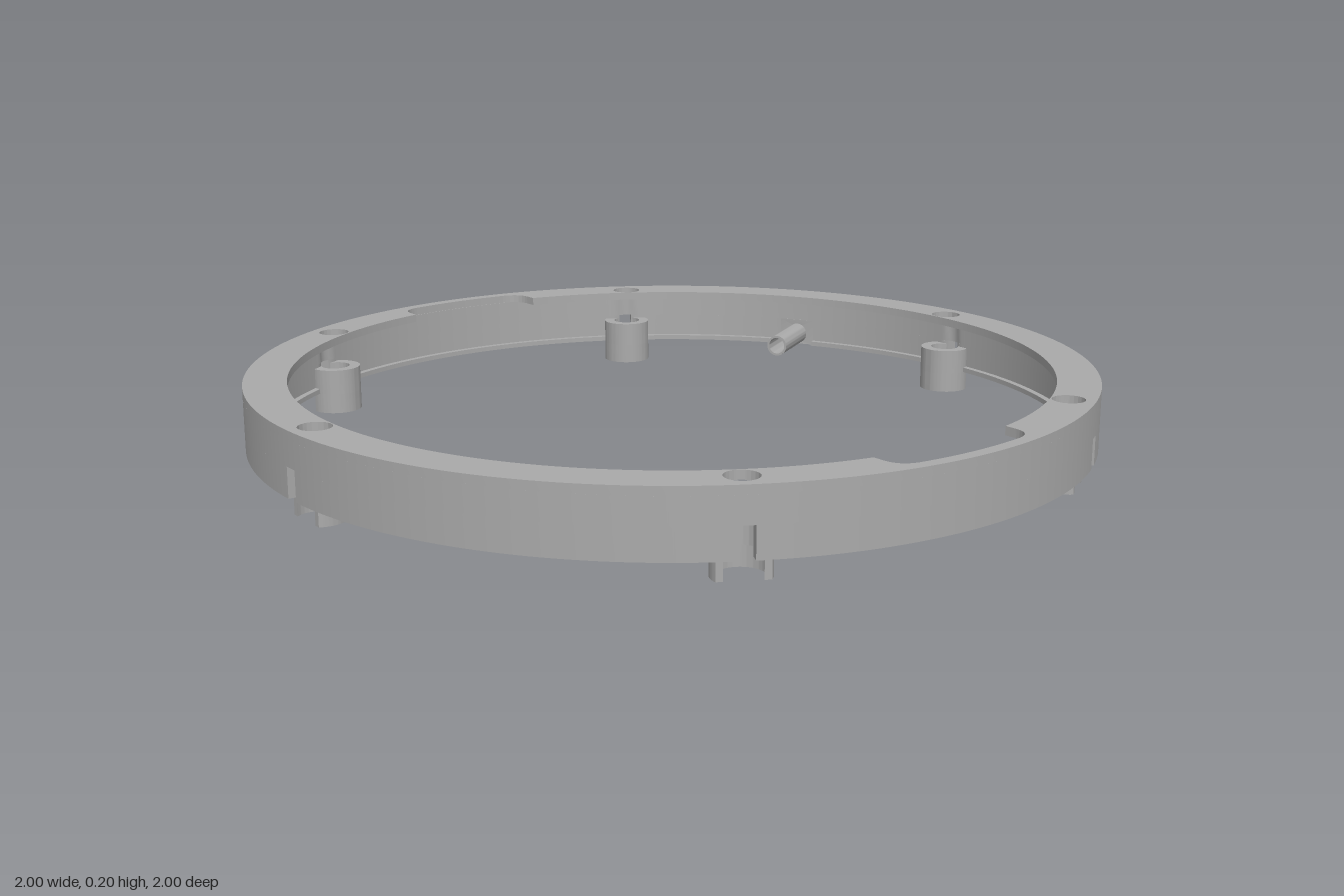
import * as THREE from 'three';
import { toCreasedNormals } from 'three/addons/utils/BufferGeometryUtils.js';

const POST_R = 0.94, BORE = 0.037, WALL_IN = 0.968;
const postAngles = [0, 1, 2, 3, 4, 5].map(k => k * Math.PI / 3);
const PIN_ANGLE = Math.PI / 6, PIN_Y = 0.08, PIN_GAP = 0.05;

// Extrude a plan shape upwards between two heights
function slab(shape, y0, y1, curveSegments = 32) {
  const g = new THREE.ExtrudeGeometry(shape, { depth: y1 - y0, bevelEnabled: false, curveSegments });
  g.rotateX(-Math.PI / 2);
  g.translate(0, y0, 0);
  return toCreasedNormals(g, 0.45);
}

// Inner radius of the wall, hollowed where the screw bores graze it
function innerRadius(a, base) {
  let r = base;
  for (const p of postAngles) {
    const s = POST_R * Math.sin(a - p);
    if (Math.cos(a - p) > 0 && Math.abs(s) < BORE) {
      r = Math.max(r, POST_R * Math.cos(a - p) + Math.sqrt(BORE * BORE - s * s));
    }
  }
  return r;
}

function arcPoints(a0, a1, radius) {
  const n = Math.max(8, Math.ceil((a1 - a0) / 0.012));
  return Array.from({ length: n + 1 }, (_, i) => {
    const a = a0 + (a1 - a0) * i / n, r = radius(a);
    return new THREE.Vector2(r * Math.cos(a), r * Math.sin(a));
  });
}

// Plan of a wall sector
function sector(a0, a1, base, outer) {
  const inside = arcPoints(a0, a1, a => innerRadius(a, base)).reverse();
  return new THREE.Shape([...arcPoints(a0, a1, () => outer), ...inside]);
}

// Top flange with two rounded notches and six screw holes
function flangeShape() {
  const H = Math.PI / 2, d = 0.2127, e = 0.134;
  const shape = new THREE.Shape();
  shape.absarc(0, 0, 1, 0, Math.PI * 2, false);
  const hole = new THREE.Path();
  for (const s of [1, -1]) {
    const mid = s * H;
    hole.absarc(0, 0, 0.9, mid - Math.PI + d, mid - d, false);
    hole.lineTo(0.19 * s, 0.905 * s);
    hole.quadraticCurveTo(0.19 * s, 0.957 * s, 0.13 * s, 0.961 * s);
    hole.absarc(0, 0, 0.97, mid - e, mid + e, false);
    hole.quadraticCurveTo(-0.19 * s, 0.957 * s, -0.19 * s, 0.905 * s);
    hole.lineTo(-0.19 * s, 0.88 * s);
  }
  shape.holes.push(hole);
  for (const a of postAngles) {
    const bore = new THREE.Path();
    bore.absarc(POST_R * Math.cos(a), POST_R * Math.sin(a), BORE, 0, Math.PI * 2, true);
    shape.holes.push(bore);
  }
  return shape;
}

// C-shaped plan of a boss, cut off where it meets the wall
function bossShape(bore) {
  const outer = 0.0625, cut = 0.97 - POST_R;
  const to = Math.acos(cut / outer), ti = Math.acos(cut / bore);
  const s = new THREE.Shape();
  s.absarc(POST_R, 0, outer, to, Math.PI * 2 - to, false);
  s.absarc(POST_R, 0, bore, Math.PI * 2 - ti, ti, true);
  return s;
}

export function createModel() {
  const root = new THREE.Group();
  root.name = 'mountingRing';
  const grey = new THREE.MeshStandardMaterial({ color: 0xaaaaaa });
  grey.name = 'grey';
  const add = (parent, name, geometry) => {
    const m = new THREE.Mesh(geometry, grey);
    m.name = name;
    parent.add(m);
    return m;
  };

  add(root, 'topFlange', slab(flangeShape(), 0.18, 0.2, 128));

  // Upper wall: closed ring
  const ring = new THREE.Shape(arcPoints(0, Math.PI * 2, () => 1).slice(0, -1));
  ring.holes.push(new THREE.Path(arcPoints(0, Math.PI * 2, a => innerRadius(a, WALL_IN)).slice(0, -1).reverse()));
  add(root, 'upperWall', slab(ring, 0.12, 0.18));

  // Lower wall: sectors between the slots, with a small inner ledge
  const breaks = postAngles.map(a => ({ a, w: 0.0175 }));
  breaks.splice(1, 0, { a: PIN_ANGLE, w: PIN_GAP });
  breaks.forEach((b, i) => {
    const next = breaks[i + 1] || { a: Math.PI * 2, w: 0.0175 };
    const a0 = b.a + b.w, a1 = next.a - next.w;
    add(root, 'lowerWall', slab(sector(a0, a1, WALL_IN, 1), 0.05, 0.12));
    add(root, 'innerLedge', slab(sector(a0, a1, 0.952, 0.98), 0.05, 0.062));
  });

  // Screw bosses: narrow bore above, wider one below
  const upperBoss = slab(bossShape(0.036), 0.05, 0.112);
  const lowerBoss = slab(bossShape(0.05), 0, 0.05);
  for (const a of postAngles) {
    const boss = new THREE.Group();
    boss.name = 'screwBoss';
    boss.rotation.y = a;
    add(boss, 'bossTop', upperBoss);
    add(boss, 'bossSkirt', lowerBoss);
    root.add(boss);
  }

  // Side port: pierced wall patch and a small tube pointing inwards
  const port = new THREE.Group();
  port.name = 'sidePort';
  port.rotation.y = PIN_ANGLE;
  root.add(port);

  const patch = new THREE.Shape();
  patch.moveTo(-PIN_GAP, 0.05).lineTo(PIN_GAP, 0.05).lineTo(PIN_GAP, 0.12).lineTo(-PIN_GAP, 0.12);
  const opening = new THREE.Path();
  opening.absarc(0, PIN_Y, 0.025, 0, Math.PI * 2, true);
  patch.holes.push(opening);
  const patchGeo = new THREE.ExtrudeGeometry(patch, { depth: 1 - WALL_IN, bevelEnabled: false, curveSegments: 24 });
  const p = patchGeo.attributes.position;
  for (let i = 0; i < p.count; i++) {
    const r = WALL_IN + p.getZ(i), s = p.getX(i);
    p.setXYZ(i, r * Math.cos(s), p.getY(i), -r * Math.sin(s));
  }
  add(port, 'portWall', toCreasedNormals(patchGeo, 0.45));

  const tube = new THREE.Shape();
  tube.absarc(0, 0, 0.028, 0, Math.PI * 2, false);
  const tubeBore = new THREE.Path();
  tubeBore.absarc(0, 0, 0.022, 0, Math.PI * 2, true);
  tube.holes.push(tubeBore);
  const tubeGeo = new THREE.ExtrudeGeometry(tube, { depth: 0.19, bevelEnabled: false, curveSegments: 24 });
  tubeGeo.rotateY(Math.PI / 2);
  tubeGeo.translate(0.785, PIN_Y, 0);
  add(port, 'portTube', toCreasedNormals(tubeGeo, 0.45));

  return root;
}
